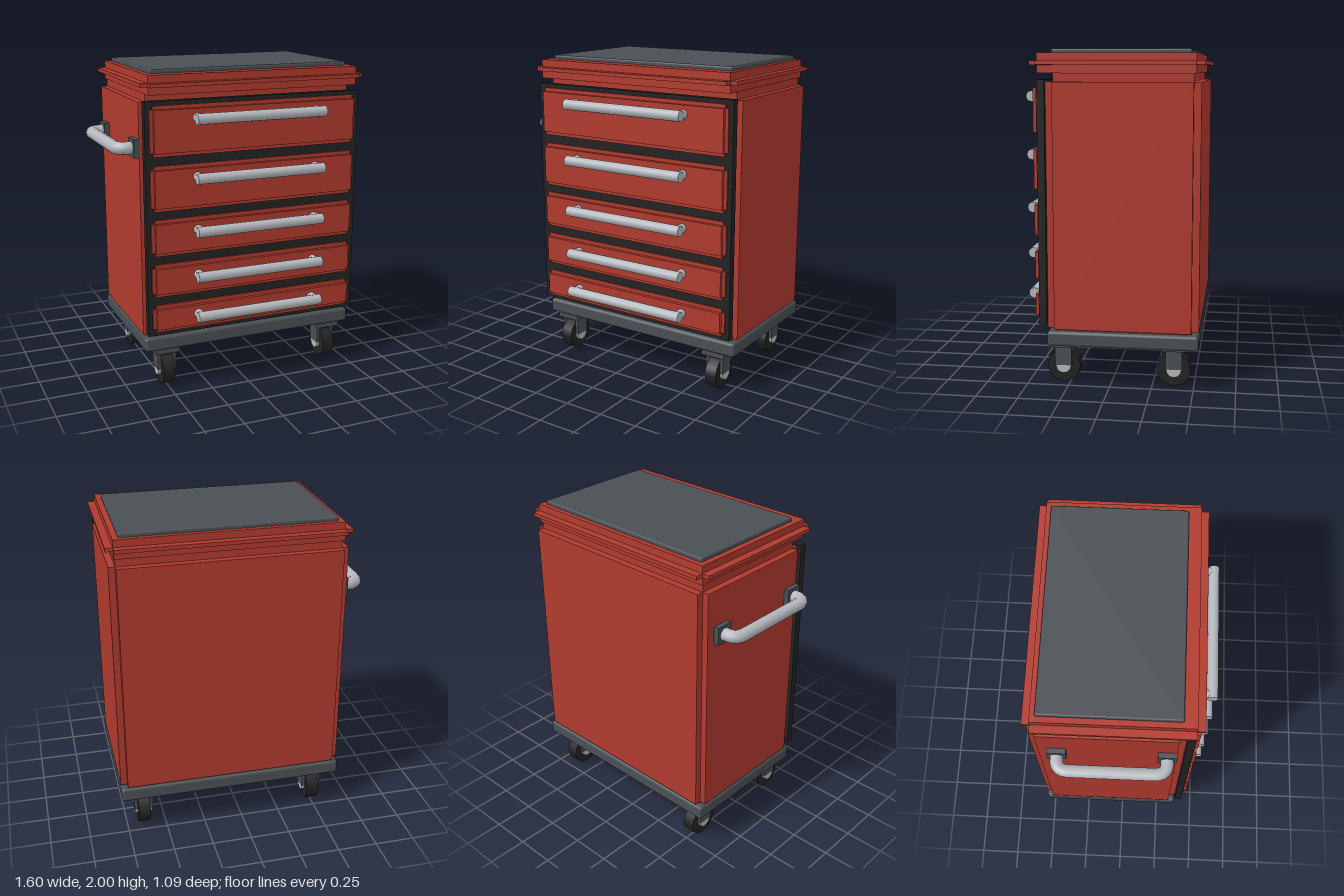
import * as THREE from 'three';
import { RoundedBoxGeometry } from 'three/addons/geometries/RoundedBoxGeometry.js';

const material = (name, color) => {
  const m = new THREE.MeshStandardMaterial({ color });
  m.name = name;
  return m;
};

export function createModel() {
  const red = material('red paint', 0xb03a2e);
  const grey = material('dark grey', 0x4a4f54);
  const black = material('black rubber', 0x222222);
  const steel = material('light steel', 0xb4b8bd);

  const model = new THREE.Group();
  model.name = 'toolCabinet';
  const CX = 0.07; // middle of the cabinet in x (the side handle sticks out at -x)

  const add = (parent, name, geometry, mat) => {
    const mesh = new THREE.Mesh(geometry, mat);
    mesh.name = name;
    parent.add(mesh);
    return mesh;
  };
  const group = (name) => {
    const g = new THREE.Group();
    g.name = name;
    model.add(g);
    return g;
  };
  // Box given by its extents; radius > 0 softens the edges
  const box = (parent, name, mat, [x0, x1], [y0, y1], [z0, z1], radius = 0) => {
    const size = [x1 - x0, y1 - y0, z1 - z0];
    const geometry = radius ? new RoundedBoxGeometry(...size, 2, radius) : new THREE.BoxGeometry(...size);
    const mesh = add(parent, name, geometry, mat);
    mesh.position.set((x0 + x1) / 2, (y0 + y1) / 2, (z0 + z1) / 2);
    return mesh;
  };

  // Base tray
  box(model, 'baseTray', grey, [-0.645, 0.785], [0.25, 0.34], [-0.53, 0.37], 0.018);

  // Cabinet core with raised panels, leaving notched corners
  const body = group('cabinetBody');
  box(body, 'core', red, [-0.605, 0.745], [0.335, 1.87], [-0.487, 0.325]);
  box(body, 'frontPanel', red, [-0.605, 0.745], [0.355, 1.812], [0.325, 0.37]);
  box(body, 'backPanel', red, [-0.605, 0.745], [0.355, 1.812], [-0.53, -0.487]);
  box(body, 'rightPanel', red, [-0.645, -0.605], [0.355, 1.812], [-0.487, 0.325]);
  box(body, 'leftPanel', red, [0.745, 0.785], [0.355, 1.812], [-0.487, 0.325]);

  // Lid with a thin flange on each side and a work mat
  const lid = group('lid');
  box(lid, 'lidBlock', red, [-0.613, 0.753], [1.86, 1.976], [-0.502, 0.417]);
  box(lid, 'sideFlange', red, [-0.66, 0.798], [1.908, 1.931], [-0.502, 0.417]);
  box(lid, 'frontBackFlange', red, [-0.613, 0.753], [1.908, 1.931], [-0.548, 0.463]);
  box(lid, 'workMat', grey, [-0.578, 0.718], [1.965, 2], [-0.472, 0.341], 0.01);

  // Black drawer surround
  box(model, 'drawerFrame', black, [-0.638, 0.776], [0.376, 1.825], [0.37, 0.415]);

  // Drawers: [bottom, top, handle height]
  const drawers = [
    [1.497, 1.8, 1.722], [1.165, 1.443, 1.367], [0.888, 1.115, 1.04],
    [0.628, 0.835, 0.755], [0.4, 0.575, 0.498],
  ];
  drawers.forEach(([y0, y1, hy], i) => {
    const drawer = group('drawer' + (i + 1));
    const e = 0.023;
    box(drawer, 'drawerFace', red, [-0.589, 0.729], [y0 + e, y1 - e], [0.41, 0.447]);
    box(drawer, 'horizontalLip', red, [-0.589, 0.729], [y0, y1], [0.41, 0.425]);
    box(drawer, 'verticalLip', red, [-0.611, 0.749], [y0 + e, y1 - e], [0.41, 0.425]);

    // Bar handle on two posts
    const bar = add(drawer, 'handleBar', new THREE.CylinderGeometry(0.033, 0.033, 0.842, 12), steel);
    bar.rotation.z = Math.PI / 2;
    bar.position.set(CX, hy, 0.513);
    for (const s of [-1, 1]) {
      const post = add(drawer, 'handlePost', new THREE.CylinderGeometry(0.029, 0.029, 0.07, 12), steel);
      post.rotation.x = Math.PI / 2;
      post.position.set(CX + s * 0.392, hy, 0.48);
    }
  });

  // Push handle on the right side
  const push = group('pushHandle');
  const V = (x, z) => new THREE.Vector3(x, 1.535, z);
  const path = new THREE.CurvePath();
  path.add(new THREE.LineCurve3(V(-0.66, -0.377), V(-0.69, -0.377)));
  path.add(new THREE.QuadraticBezierCurve3(V(-0.69, -0.377), V(-0.762, -0.377), V(-0.762, -0.305)));
  path.add(new THREE.LineCurve3(V(-0.762, -0.305), V(-0.762, 0.198)));
  path.add(new THREE.QuadraticBezierCurve3(V(-0.762, 0.198), V(-0.762, 0.27), V(-0.69, 0.27)));
  path.add(new THREE.LineCurve3(V(-0.69, 0.27), V(-0.66, 0.27)));
  add(push, 'pushBar', new THREE.TubeGeometry(path, 40, 0.039, 12), steel);
  for (const z of [-0.377, 0.27]) {
    box(push, 'handleBracket', grey, [-0.677, -0.64], [1.48, 1.592], [z - 0.056, z + 0.056]);
  }

  // Casters
  for (const x of [-0.498, 0.638]) {
    for (const z of [-0.38, 0.29]) {
      const caster = group('caster');
      caster.position.set(x, 0, z);
      box(caster, 'mountPlate', grey, [-0.078, 0.078], [0.223, 0.255], [-0.078, 0.078]);
      box(caster, 'forkCrown', grey, [-0.06, 0.06], [0.207, 0.225], [-0.05, 0.05]);
      for (const s of [-1, 1]) {
        const arm = box(caster, 'forkArm', grey, [-0.01, 0.01], [0.107, 0.215], [-0.05, 0.05]);
        arm.position.x = s * 0.05;
      }
      const wheel = add(caster, 'wheel', new THREE.CylinderGeometry(0.102, 0.102, 0.076, 12), black);
      const hub = add(caster, 'hub', new THREE.CylinderGeometry(0.046, 0.046, 0.114, 12), steel);
      for (const part of [wheel, hub]) {
        part.rotation.z = Math.PI / 2;
        part.position.y = 0.104;
      }
      wheel.position.y = 0.102;
    }
  }

  return model;
}
